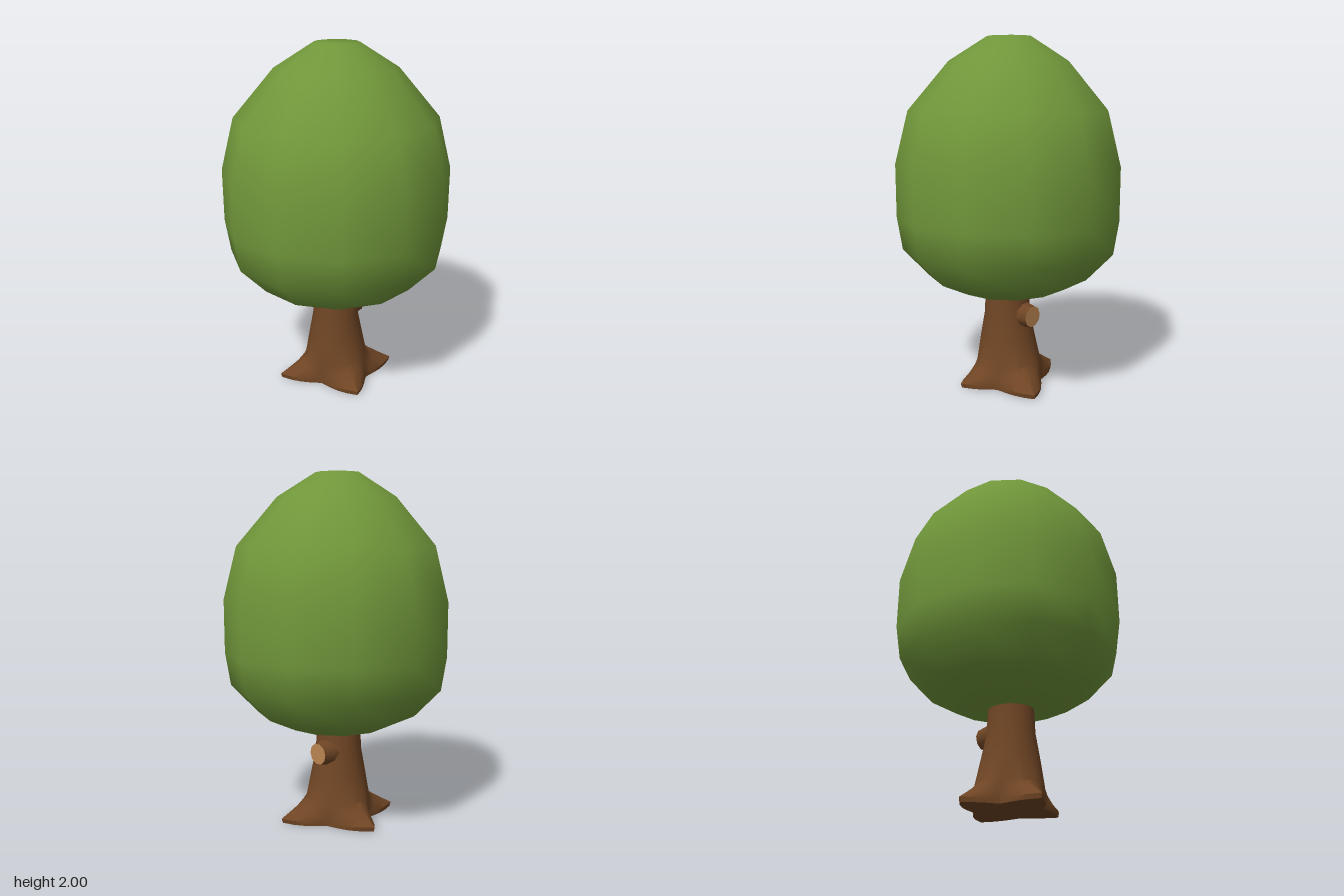
import * as THREE from 'three';
import { toCreasedNormals } from 'three/addons/utils/BufferGeometryUtils.js';

const material = (name, color) => {
  const m = new THREE.MeshStandardMaterial({ color });
  m.name = name;
  return m;
};

// Root outline at ground level: alternating valleys and tips as [angle in degrees, radius]
const outline = [
  [0, 0.19], [51, 0.325], [90, 0.205], [135, 0.353],
  [185, 0.19], [241, 0.335], [275, 0.19], [315, 0.355], [360, 0.19],
];
const STEPS = 5;

// Trunk levels: [height, trunk radius, centre z, root flare 0..1]
const levels = [
  [0, 0.19, 0, 0.95], [0.025, 0.19, 0, 1], [0.055, 0.19, 0, 0.68], [0.095, 0.19, 0, 0.28],
  [0.125, 0.187, 0.004, 0], [0.27, 0.16, 0.01, 0], [0.41, 0.134, 0.013, 0], [0.58, 0.126, 0.013, 0],
];

function trunkGeometry() {
  // Sample the star outline, narrowing towards each tip
  const rim = [];
  for (let k = 0; k < outline.length - 1; k++) {
    const [a0, r0] = outline[k], [a1, r1] = outline[k + 1];
    for (let s = 0; s < STEPS; s++) {
      const t = s / STEPS;
      const w = k % 2 === 0 ? t ** 1.5 : 1 - (1 - (1 - t) ** 1.5);
      const r = k % 2 === 0 ? r0 + (r1 - r0) * w : r1 + (r0 - r1) * w;
      rim.push([THREE.MathUtils.degToRad(a0 + (a1 - a0) * t), r]);
    }
  }
  const n = rim.length, pos = [], index = [];
  for (const [y, radius, cz, flare] of levels) {
    for (const [a, r] of rim) {
      const d = radius + (r - 0.19) * flare;
      pos.push(Math.sin(a) * d, y, Math.cos(a) * d + cz);
    }
  }
  pos.push(0, 0, 0);
  const centre = levels.length * n;
  for (let j = 0; j < n; j++) {
    const k = (j + 1) % n;
    for (let i = 0; i < levels.length - 1; i++) {
      const p = i * n, q = p + n;
      index.push(p + j, p + k, q + k, p + j, q + k, q + j);
    }
    index.push(centre, k, j);
  }
  const g = new THREE.BufferGeometry();
  g.setAttribute('position', new THREE.Float32BufferAttribute(pos, 3));
  g.setIndex(index);
  return toCreasedNormals(g, 0.75);
}

export function createModel() {
  const leaf = material('leaf green', 0x70963a);
  const bark = material('bark brown', 0x6f4524);
  const wood = material('cut wood', 0xbb8650);
  const group = new THREE.Group();
  const add = (name, geometry, mat) => {
    const mesh = new THREE.Mesh(geometry, mat);
    mesh.name = name;
    group.add(mesh);
    return mesh;
  };

  // Egg-shaped crown with twelve sides
  const profile = [
    [0, 0.545], [0.12, 0.545], [0.3, 0.57], [0.465, 0.65], [0.615, 0.81], [0.645, 1],
    [0.645, 1.3], [0.57, 1.595], [0.34, 1.865], [0.125, 2], [0, 2],
  ].map(([x, y]) => new THREE.Vector2(x, y));
  add('crown', new THREE.LatheGeometry(profile, 12), leaf);

  // Trunk flaring into four roots
  add('trunkAndRoots', trunkGeometry(), bark);

  // Short sawn-off branch on the back, with a pale cut end
  const stub = new THREE.CylinderGeometry(0.062, 0.085, 0.12, 10);
  const branch = add('branchStub', stub, [bark, wood, bark]);
  branch.position.set(0.032, 0.415, -0.11);
  branch.quaternion.setFromUnitVectors(
    new THREE.Vector3(0, 1, 0), new THREE.Vector3(0.38, 0, -0.92).normalize());

  return group;
}
